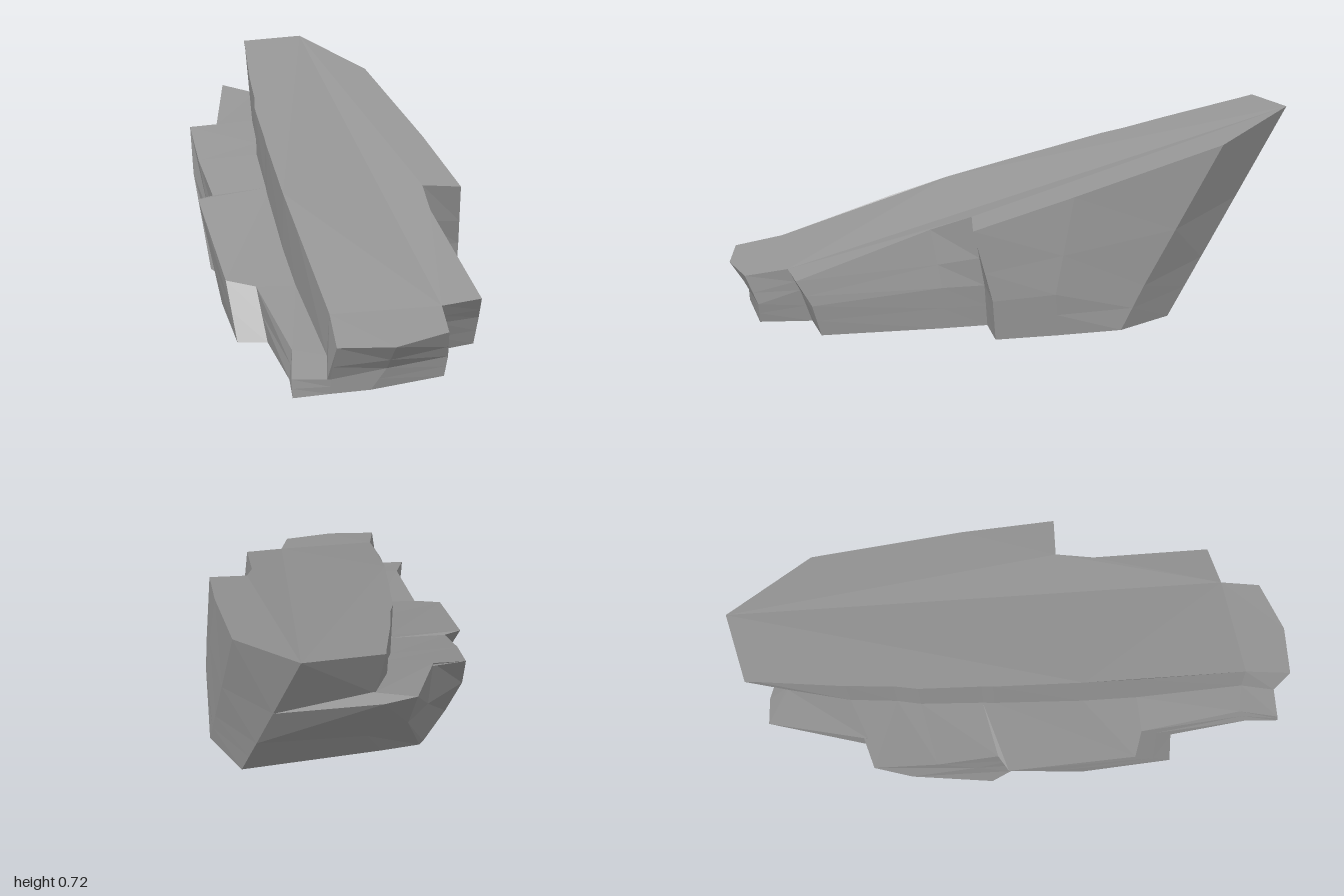
import * as THREE from 'three';

// height of the sloping top face, and of the lower shelf, at depth z
function topY(z) {
  if (z > 0.83) return 0.17 + 0.18 * (1 - z);
  if (z > 0.25) return 0.2 + 0.33 * (0.83 - z);
  return 0.392 + 0.262 * (0.25 - z);
}
const shelfY = (z) => (z > 0.3 ? 0.16 - 0.18 * (z - 0.3) : 0.16 + 0.3 * (0.3 - z));

// wall columns, anticlockwise seen from above:
// top x z | middle x y z | base x z | optional lower x y z
const plainSide = [
  [-0.38, 0.95, -0.38, 0.05, 0.9, -0.38, 0.9],
  [-0.2, 1.0, -0.2, 0.07, 0.935, -0.25, 0.925],
  [0.0, 0.975, 0.02, 0.07, 0.935, 0.01, 0.93],
  [0.05, 0.83, 0.06, 0.12, 0.79, 0.06, 0.75],
  [0.2, 0.83, 0.22, 0.11, 0.78, 0.22, 0.75],
  [0.25, 0.36, 0.29, 0.15, 0.33, 0.29, 0.33],
  [0.29, 0.22, 0.31, 0.15, 0.18, 0.31, 0.17],
  [0.43, 0.26, 0.46, 0.14, 0.2, 0.46, 0.19],
  [0.455, -0.1, 0.49, 0.15, -0.02, 0.49, -0.03],
  [0.468, -0.66, 0.5, 0.15, -0.35, 0.513, -0.26],
  [0.31, -1.0, 0.396, 0.2, -0.625, 0.43, -0.48],
];
// on this side the middle point is the outer rim of the stepped shelf
const shelfSide = [
  [0.05, -1.0, 0.04, 0.51, -0.95, -0.08, -0.468, 0.0, 0.14, -0.57],
  [0.04, -0.96, -0.06, 0.54, -0.975, -0.22, -0.46, -0.08, 0.33, -0.8],
  [-0.045, -0.68, -0.2, 0.46, -0.66, -0.24, -0.44],
  [-0.085, -0.52, -0.31, 0.46, -0.67, -0.375, -0.26, -0.34, 0.3, -0.55],
  [-0.115, -0.44, -0.35, 0.385, -0.45, -0.36, -0.18],
  [-0.16, -0.22, -0.37, 0.31, -0.23, -0.355, -0.11],
  [-0.17, -0.18, -0.435, 0.31, -0.21, -0.45, 0.08],
  [-0.235, 0.15, -0.5, 0.17, 0.27, -0.515, 0.42],
  [-0.27, 0.36, -0.41, 0.155, 0.33, -0.42, 0.46],
  [-0.33, 0.78, -0.44, 0.09, 0.73, -0.46, 0.755],
  [-0.38, 0.95, -0.5, 0.06, 0.87, -0.5, 0.88],
];

// each column becomes five points from top to base
function column([tx, tz, mx, my, mz, bx, bz, ...low], hasShelf) {
  const top = new THREE.Vector3(tx, topY(tz), tz);
  const middle = new THREE.Vector3(mx, my, mz);
  const base = new THREE.Vector3(bx, 0, bz);
  const z = THREE.MathUtils.clamp(tz, -0.88, 0.9);
  const upper = hasShelf
    ? new THREE.Vector3(tx - 0.012 * z, shelfY(z), z)
    : top.clone().lerp(middle, 0.6);
  const lower = low.length ? new THREE.Vector3(...low) : middle.clone().lerp(base, 0.5);
  return [top, upper, middle, lower, base];
}

function rockGeometry() {
  const columns = [
    ...plainSide.map((c) => column(c, false)),
    ...shelfSide.map((c) => column(c, true)),
  ];
  const points = [];
  const n = columns.length;

  // walls
  for (let i = 0; i < n; i++) {
    const a = columns[i];
    const b = columns[(i + 1) % n];
    for (let r = 0; r < 4; r++) {
      points.push(a[r], a[r + 1], b[r + 1], a[r], b[r + 1], b[r]);
    }
  }

  // top and base faces
  for (const row of [0, 4]) {
    const outline = columns.map((c) => new THREE.Vector2(c[row].x, -c[row].z));
    for (const [i, j, k] of THREE.ShapeUtils.triangulateShape(outline, [])) {
      const face = row === 0 ? [i, j, k] : [i, k, j];
      points.push(...face.map((v) => columns[v][row]));
    }
  }

  const geometry = new THREE.BufferGeometry().setFromPoints(points);
  geometry.computeVertexNormals();
  return geometry;
}

export function createModel() {
  const group = new THREE.Group();
  group.name = 'slantedRock';
  const material = new THREE.MeshStandardMaterial({ color: 0x959595, flatShading: true });
  const rock = new THREE.Mesh(rockGeometry(), material);
  rock.name = 'rockSlab';
  group.add(rock);
  return group;
}
